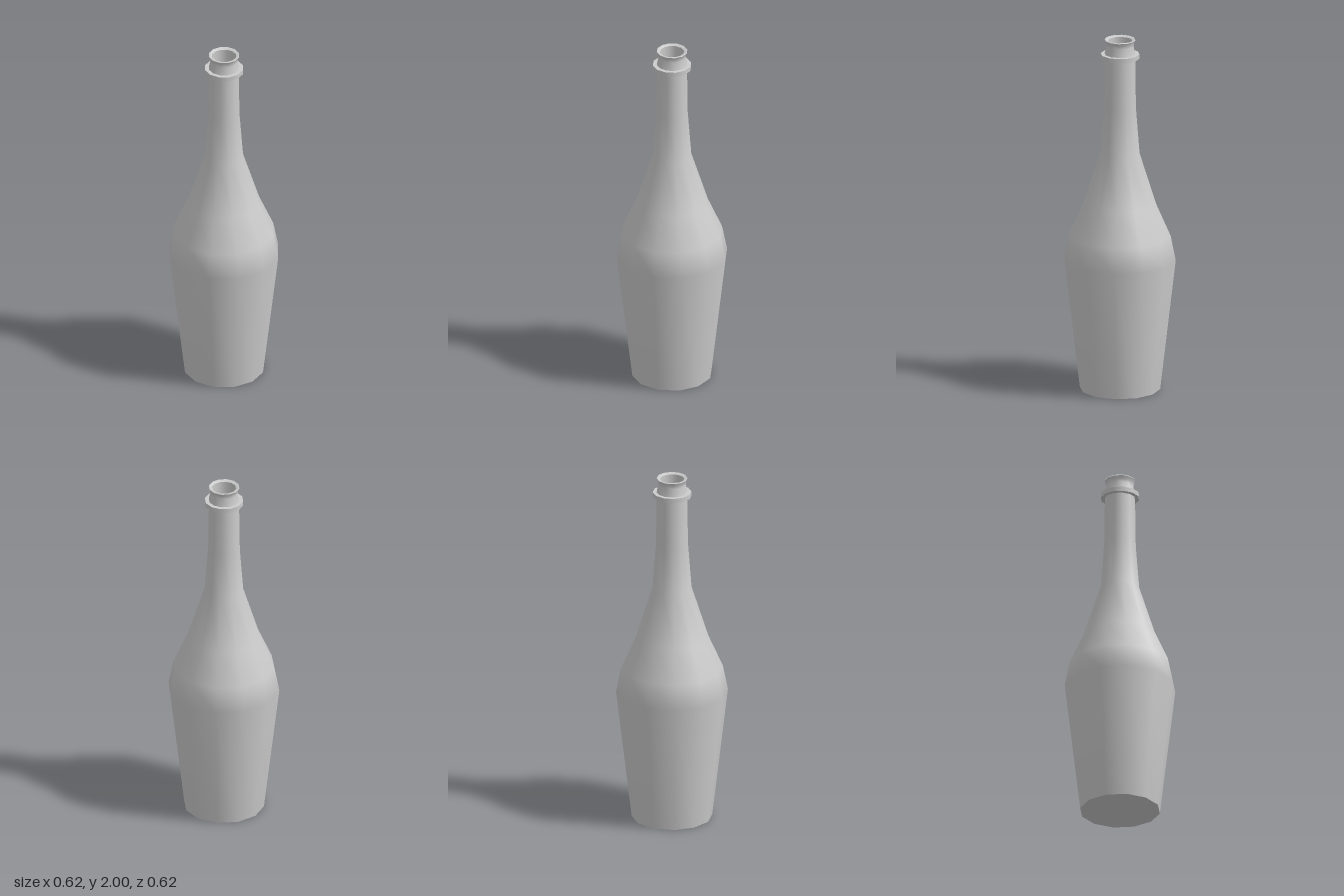
import * as THREE from 'three';

const SIDES = 12;

export function createModel() {
  const model = new THREE.Group();
  model.name = 'bottle';
  const material = new THREE.MeshStandardMaterial({ color: 0xcccccc });

  // Revolves a [radius, height] profile; separate pieces keep hard edges between them
  const addRing = (name, profile, parent = model) => {
    const points = profile.map(([r, y]) => new THREE.Vector2(r, y));
    const mesh = new THREE.Mesh(new THREE.LatheGeometry(points, SIDES), material);
    mesh.name = name;
    parent.add(mesh);
  };

  // Flat underside
  addRing('base', [[0, 0], [0.222, 0]]);

  // Flaring body, rounded shoulder and tapering neck
  addRing('body', [
    [0.222, 0], [0.308, 0.74], [0.28, 0.88], [0.2, 1.06],
    [0.108, 1.35], [0.088, 1.61], [0.084, 1.895],
  ]);

  // Collar around the neck, with crisp edges
  const collar = new THREE.Group();
  collar.name = 'collar';
  model.add(collar);
  addRing('collarUnderside', [[0.084, 1.89], [0.107, 1.89]], collar);
  addRing('collarBand', [[0.107, 1.89], [0.107, 1.916]], collar);
  addRing('collarTop', [[0.107, 1.916], [0.08, 1.916]], collar);

  // Pinched mouth with a flared lip
  addRing('mouth', [[0.085, 1.916], [0.075, 1.96], [0.078, 1.98], [0.086, 1.995]]);
  addRing('lip', [[0.086, 1.995], [0.083, 2], [0.067, 1.992]]);

  // Hollow inside the neck
  addRing('innerWall', [[0.067, 1.992], [0.065, 1.75]]);
  addRing('innerFloor', [[0.065, 1.75], [0, 1.75]]);

  return model;
}
